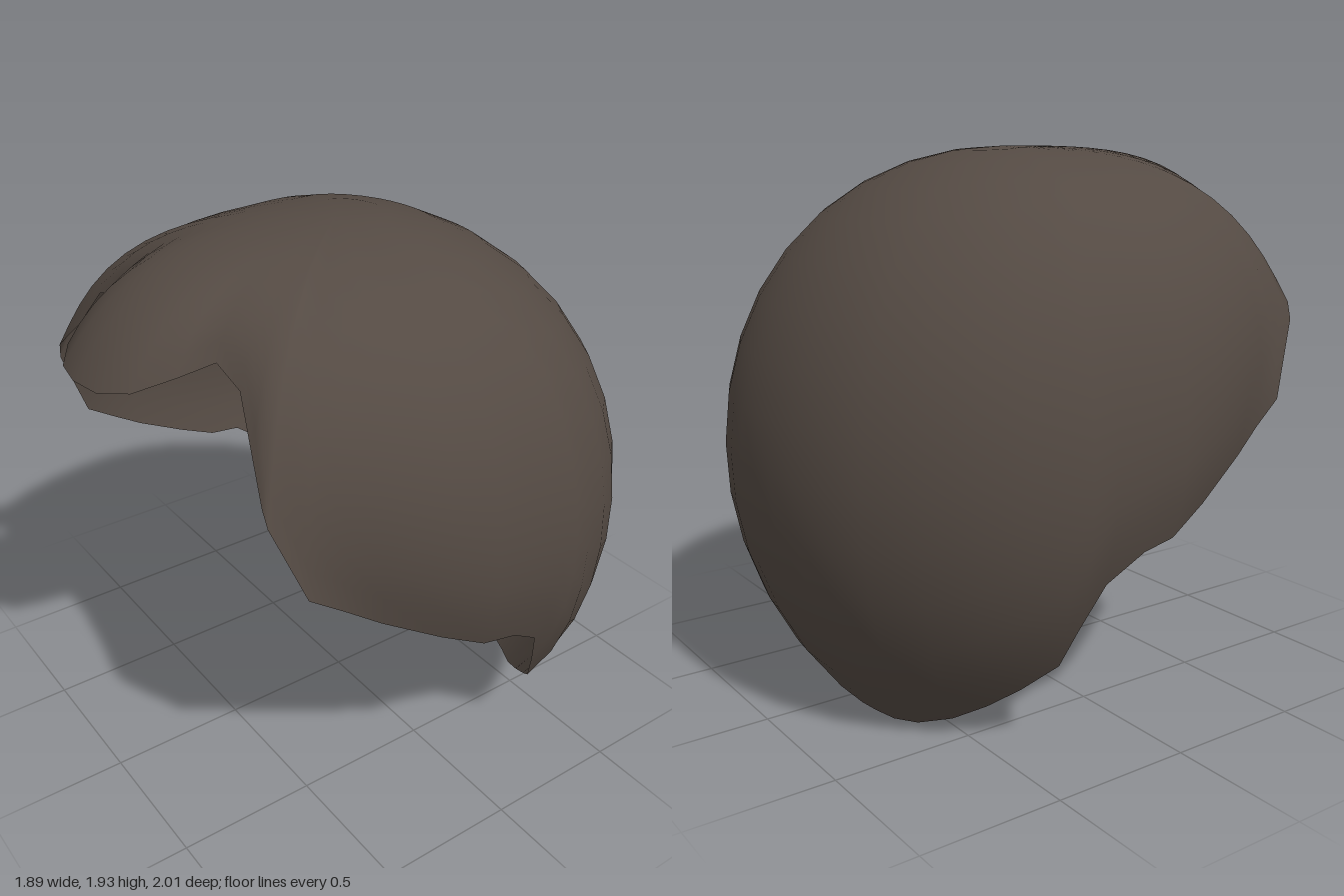
import * as THREE from 'three';

// Left half of the rim, from the middle of the fringe round to the nape
const RIM = [
  [0, 1.59, 1.0], [0.12, 1.59, 0.98], [0.22, 1.61, 0.915], [0.28, 1.65, 0.79],
  [0.33, 1.69, 0.68], [0.46, 1.65, 0.68], [0.58, 1.5, 0.72], [0.69, 1.39, 0.76],
  [0.71, 1.33, 0.755], [0.76, 1.06, 0.65], [0.78, 0.98, 0.53], [0.81, 0.9, 0.41],
  [0.86, 0.78, 0.2], [0.89, 0.7, 0.04], [0.9, 0.68, -0.09], [0.87, 0.59, -0.22],
  [0.81, 0.43, -0.28], [0.76, 0.3, -0.32], [0.66, 0.2, -0.4], [0.56, 0.12, -0.465],
  [0.45, 0.05, -0.53], [0.34, 0.01, -0.6], [0.25, 0, -0.64], [0.16, 0, -0.66],
  [0.08, 0, -0.67], [0, 0, -0.67],
];
const CENTRE = new THREE.Vector3(0, 0.95, 0);
const ROWS = 14;

// Radius of the skull-like dome in a unit direction, swept up over the forehead
function domeRadius(d) {
  const x2 = d.x * d.x, y2 = d.y * d.y, z2 = d.z * d.z;
  const forehead = d.z > 0 && d.y > 0 ? 0.48 * z2 * d.y : 0;
  return 0.995 - 0.035 * x2 * x2 - 0.01 * y2 * y2 - 0.015 * z2
    + 0.12 * x2 * y2 + 0.06 * x2 * z2 + forehead;
}

// Open shell: each column runs from the crown down to one rim point
function shellGeometry() {
  const mirrored = RIM.slice(1, -1).reverse().map(([x, y, z]) => [-x, y, z]);
  const rim = [...RIM, ...mirrored];
  const n = rim.length;
  const positions = [0, CENTRE.y + domeRadius(new THREE.Vector3(0, 1, 0)), 0];
  const index = [];
  const at = (row, col) => (row === 0 ? 0 : 1 + (row - 1) * n + (col % n));

  for (let row = 1; row <= ROWS; row++) {
    const t = row / ROWS;
    for (const point of rim) {
      const end = new THREE.Vector3(...point).sub(CENTRE);
      const rimRadius = end.length();
      const polar = Math.acos(end.y / rimRadius);
      const azimuth = Math.atan2(end.x, end.z);
      const dir = new THREE.Vector3().setFromSphericalCoords(1, polar * t, azimuth);
      // Follow the dome, then ease onto the rim
      const radius = THREE.MathUtils.lerp(domeRadius(dir), rimRadius, t ** 4);
      dir.multiplyScalar(radius).add(CENTRE);
      positions.push(dir.x, dir.y, dir.z);
    }
  }
  for (let row = 0; row < ROWS; row++) {
    for (let col = 0; col < n; col++) {
      const a = at(row, col), b = at(row + 1, col);
      const c = at(row + 1, col + 1), d = at(row, col + 1);
      index.push(a, b, c);
      if (row > 0) index.push(a, c, d);
    }
  }
  const geometry = new THREE.BufferGeometry();
  geometry.setAttribute('position', new THREE.Float32BufferAttribute(positions, 3));
  geometry.setIndex(index);
  geometry.computeVertexNormals();
  return geometry;
}

export function createModel() {
  const darkBrown = new THREE.MeshStandardMaterial({ color: 0x544a43, side: THREE.DoubleSide });
  darkBrown.name = 'dark brown';

  const group = new THREE.Group();
  group.name = 'hair';
  const shell = new THREE.Mesh(shellGeometry(), darkBrown);
  shell.name = 'hairShell';
  group.add(shell);
  return group;
}
